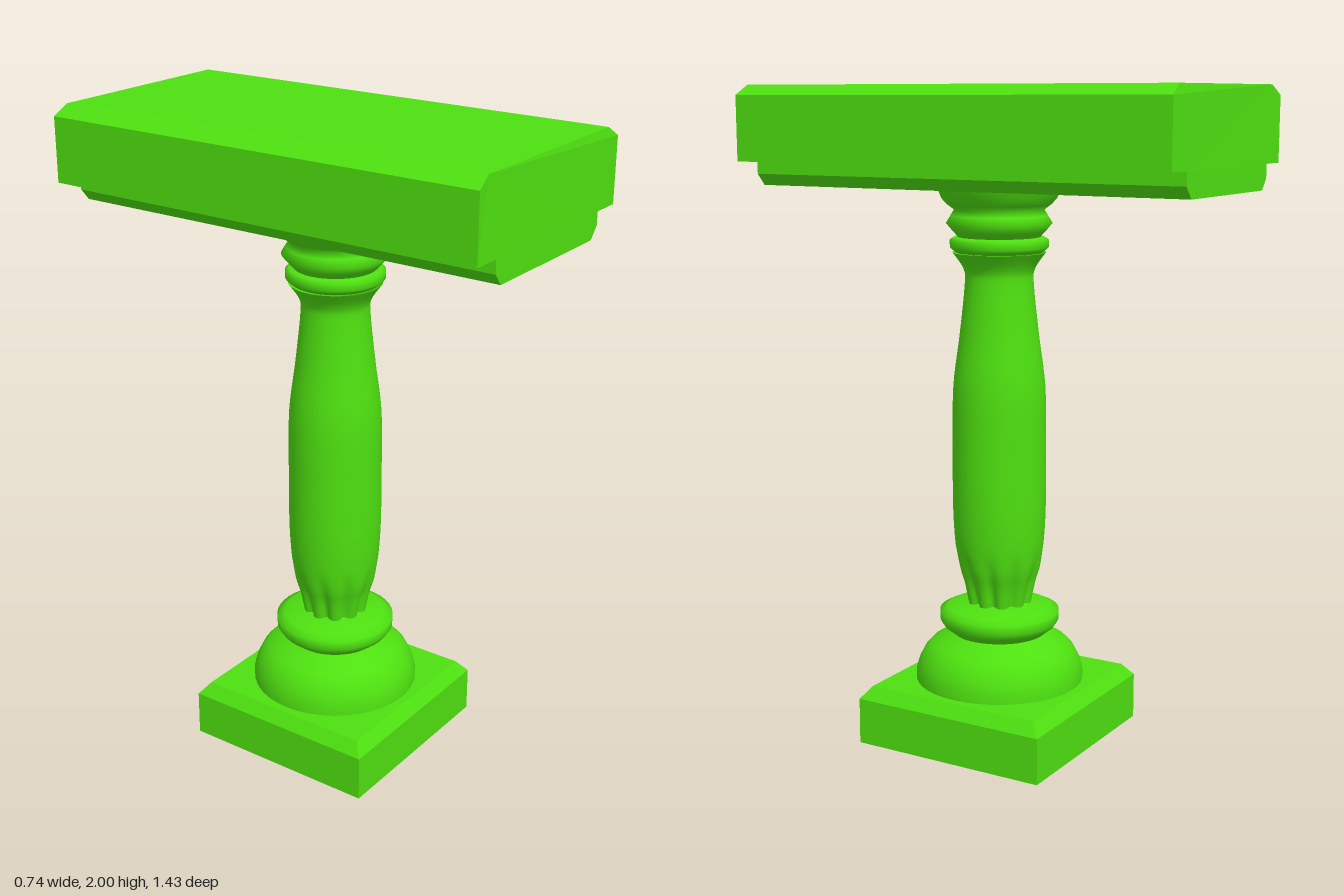
import * as THREE from 'three';

const stone = new THREE.MeshStandardMaterial({ color: 0x4ee010, side: THREE.DoubleSide });
stone.name = 'green stone';

const toPoints = (list) => list.map(([x, y]) => new THREE.Vector2(x, y));

// Handrail: moulded section run along z
function makeRail() {
  const section = new THREE.Shape(toPoints([
    [-0.249, 1.7], [0.241, 1.7], [0.272, 1.735], [0.272, 1.775], [0.365, 1.775], [0.365, 1.97],
    [0.317, 2], [-0.32, 2], [-0.37, 1.97], [-0.37, 1.775], [-0.278, 1.775], [-0.278, 1.735],
  ]));
  const half = 0.713;
  const geo = new THREE.ExtrudeGeometry(section, { depth: half * 2, bevelEnabled: false });
  geo.translate(0, 0, -half);
  // Slight slope at the ends of the top edge
  const p = geo.attributes.position;
  for (let i = 0; i < p.count; i++) if (p.getY(i) > 1.99) p.setZ(i, p.getZ(i) * 0.991);
  geo.computeVertexNormals();
  return new THREE.Mesh(geo, stone);
}

// Plinth: square, chamfered, open underneath
function makePlinth() {
  const wall = 0.315 * Math.SQRT2, top = 0.285 * Math.SQRT2;
  const geo = new THREE.LatheGeometry(
    toPoints([[wall, 0], [wall, 0.142], [top, 0.18], [0, 0.18]]), 4, Math.PI / 4).toNonIndexed();
  geo.computeVertexNormals();
  return new THREE.Mesh(geo, stone);
}

// Turned sections of the baluster
function makeTurned(profile) {
  return new THREE.Mesh(new THREE.LatheGeometry(toPoints(profile), 40), stone);
}

// Shaft: turned, with flutes fading out above its foot
function makeShaft() {
  const curve = new THREE.SplineCurve(toPoints([
    [0.098, 0.42], [0.112, 0.49], [0.13, 0.56], [0.142, 0.7], [0.143, 0.9],
    [0.14, 1.1], [0.12, 1.26], [0.104, 1.41], [0.107, 1.46], [0.14, 1.51],
  ]));
  const geo = new THREE.LatheGeometry(curve.getPoints(45), 80);
  const p = geo.attributes.position;
  for (let i = 0; i < p.count; i++) {
    const fade = THREE.MathUtils.clamp((0.6 - p.getY(i)) / 0.14, 0, 1);
    const angle = Math.atan2(p.getX(i), p.getZ(i));
    const k = 1 - 0.16 * fade * Math.pow(Math.abs(Math.cos(angle * 5)), 4);
    p.setX(i, p.getX(i) * k);
    p.setZ(i, p.getZ(i) * k);
  }
  geo.computeVertexNormals();
  return new THREE.Mesh(geo, stone);
}

export function createModel() {
  const model = new THREE.Group();
  model.name = 'balustradeSection';
  const add = (name, mesh, parent) => {
    mesh.name = name;
    parent.add(mesh);
  };
  add('handrail', makeRail(), model);

  const baluster = new THREE.Group();
  baluster.name = 'baluster';
  baluster.position.set(0.0115, 0, 0.0125);
  model.add(baluster);

  add('plinth', makePlinth(), baluster);
  add('footBell', makeTurned([
    [0.26, 0.17], [0.26, 0.207], [0.25, 0.24], [0.235, 0.27], [0.212, 0.295], [0.18, 0.312], [0.145, 0.33],
  ]), baluster);
  add('footRing', makeTurned([
    [0.142, 0.328], [0.172, 0.352], [0.184, 0.37], [0.185, 0.4], [0.16, 0.412], [0.125, 0.42], [0.08, 0.43],
  ]), baluster);
  add('shaft', makeShaft(), baluster);
  add('neckRing', makeTurned([
    [0.13, 1.51], [0.14, 1.518], [0.148, 1.526], [0.148, 1.547], [0.138, 1.554], [0.11, 1.558],
  ]), baluster);
  add('capital', makeTurned([
    [0.12, 1.553], [0.138, 1.572], [0.159, 1.597], [0.145, 1.62], [0.135, 1.637],
    [0.155, 1.652], [0.172, 1.67], [0.185, 1.702],
  ]), baluster);
  return model;
}
